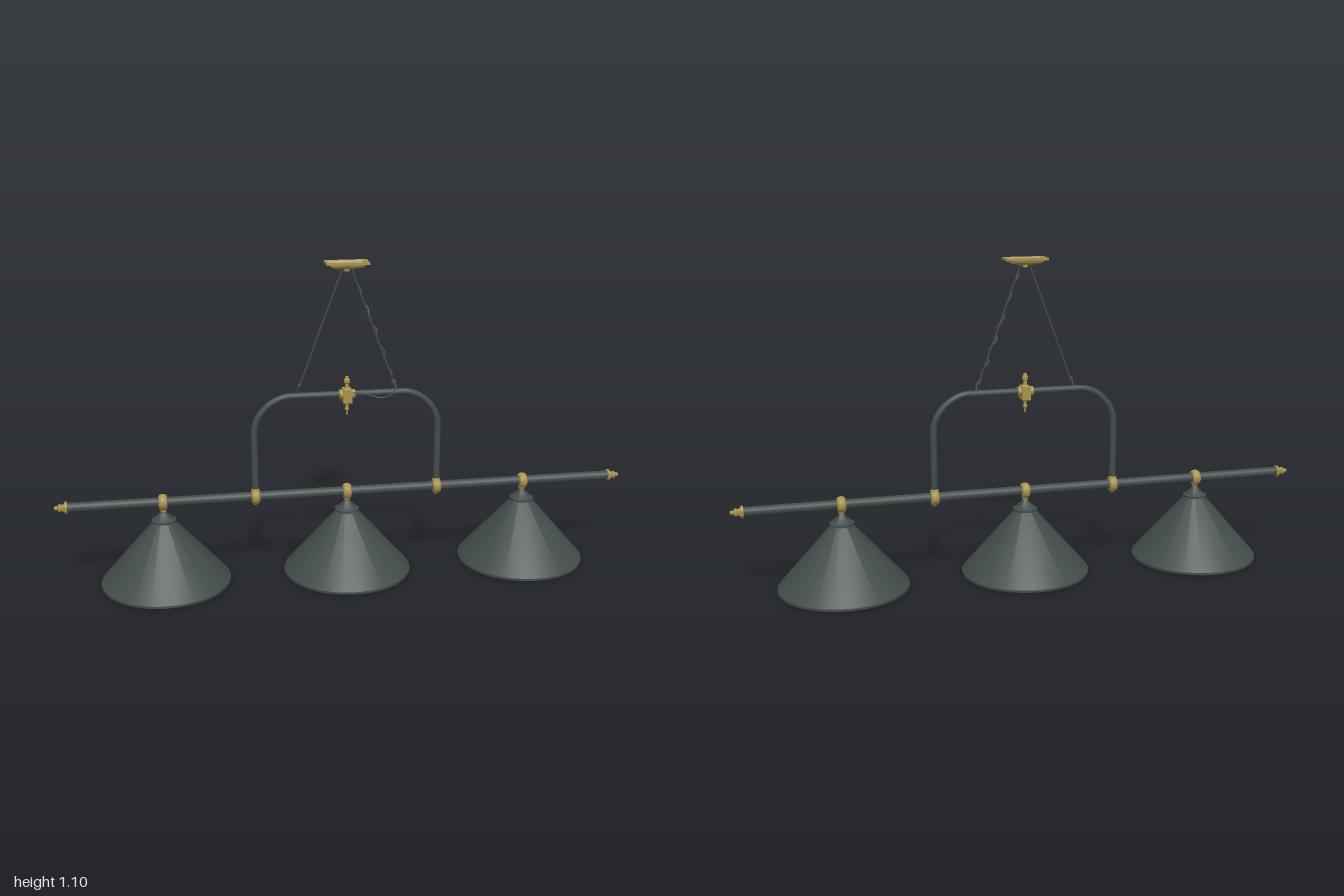
import * as THREE from 'three';
import { toCreasedNormals } from 'three/addons/utils/BufferGeometryUtils.js';

const dark = new THREE.MeshStandardMaterial({ color: 0x434b4b });
dark.name = 'dark metal';
const brass = new THREE.MeshStandardMaterial({ color: 0xa8934f });
brass.name = 'brass';
const glass = new THREE.MeshStandardMaterial({ color: 0xd2d2cc });
glass.name = 'bulb glass';

const BAR_Y = 0.292, ARCH_X = 0.32, ARCH_Y = 0.645, SHADE_X = 0.637;
const V = (x, y, z = 0) => new THREE.Vector3(x, y, z);

function add(parent, name, geometry, material, x = 0, y = 0, z = 0) {
  const mesh = new THREE.Mesh(geometry, material);
  mesh.name = name;
  mesh.position.set(x, y, z);
  parent.add(mesh);
  return mesh;
}

// Turned part from [radius, height] pairs, running upwards on the outside
function turned(profile, sides = 24) {
  const points = profile.map(([r, y]) => new THREE.Vector2(r, y));
  return toCreasedNormals(new THREE.LatheGeometry(points, sides), 0.6);
}

function tube(points, radius, segments, sides = 8) {
  return new THREE.TubeGeometry(new THREE.CatmullRomCurve3(points), segments, radius, sides);
}

// Rectangular stepped form from [halfX, halfZ, y] sections
function rectLoft(sections) {
  const pos = [];
  const corner = ([x, z, y], i) => [[x, y, z], [-x, y, z], [-x, y, -z], [x, y, -z]][i % 4];
  for (let s = 0; s < sections.length - 1; s++) {
    const lo = sections[s], hi = sections[s + 1];
    for (let i = 0; i < 4; i++) {
      const a = corner(lo, i + 1), b = corner(lo, i), c = corner(hi, i), d = corner(hi, i + 1);
      pos.push(...a, ...b, ...c, ...a, ...c, ...d);
    }
  }
  const g = new THREE.BufferGeometry();
  g.setAttribute('position', new THREE.Float32BufferAttribute(pos, 3));
  g.computeVertexNormals();
  return g;
}

// Rounded brass ring around the long bar
function clamp(parent, x) {
  const ring = add(parent, 'barClamp', new THREE.TorusGeometry(0.018, 0.01, 12, 28), brass, x, BAR_Y);
  ring.rotation.y = Math.PI / 2;
  ring.scale.z = 1.5;
}

function buildShade(x) {
  const g = new THREE.Group();
  g.name = 'lampShade';
  add(g, 'shade', turned([[0, 0.22], [0.035, 0.219], [0.218, 0.008], [0.219, 0], [0.223, 0],
    [0.223, 0.008], [0.036, 0.223]], 48), dark, x);
  add(g, 'shadeCollar', turned([[0.034, 0.221], [0.042, 0.222], [0.042, 0.229], [0.036, 0.231],
    [0.013, 0.253], [0.011, 0.258], [0, 0.258]], 32), dark, x);
  add(g, 'shadeNeck', turned([[0.009, 0.254], [0.009, 0.262], [0.012, 0.266], [0.009, 0.272]]), brass, x);
  add(g, 'socket', turned([[0, 0.15], [0.019, 0.15], [0.019, 0.225]]), dark, x);
  add(g, 'bulb', turned([[0, 0.09], [0.013, 0.093], [0.024, 0.102], [0.029, 0.116], [0.026, 0.131],
    [0.018, 0.148], [0.015, 0.16]]), glass, x);
  clamp(g, x);
  return g;
}

export function createModel() {
  const model = new THREE.Group();
  model.name = 'billiardLamp';

  // Long bar with brass end finials
  const bar = add(model, 'longBar', new THREE.CylinderGeometry(0.0165, 0.0165, 1.92, 24), dark, 0, BAR_Y);
  bar.rotation.z = Math.PI / 2;
  const finial = turned([[0.0165, 0], [0.021, 0.002], [0.021, 0.008], [0.014, 0.013], [0.011, 0.02],
    [0.014, 0.024], [0.013, 0.029], [0.007, 0.033], [0.008, 0.038], [0.005, 0.044], [0, 0.045]]);
  for (const s of [-1, 1]) {
    add(model, 'endFinial', finial, brass, s * 0.955, BAR_Y).rotation.z = -s * Math.PI / 2;
  }

  // Three cone shades
  for (const x of [-SHADE_X, 0, SHADE_X]) model.add(buildShade(x));

  // Arch: two legs, two rounded corners and a flat top
  const r = 0.125, path = new THREE.CurvePath();
  const quarter = (s) => [V(s * ARCH_X, ARCH_Y - r), V(s * ARCH_X, ARCH_Y - r * 0.45),
    V(s * (ARCH_X - r * 0.55), ARCH_Y), V(s * (ARCH_X - r), ARCH_Y)];
  path.add(new THREE.LineCurve3(V(-ARCH_X, BAR_Y), V(-ARCH_X, ARCH_Y - r)));
  path.add(new THREE.CubicBezierCurve3(...quarter(-1)));
  path.add(new THREE.LineCurve3(V(r - ARCH_X, ARCH_Y), V(ARCH_X - r, ARCH_Y)));
  path.add(new THREE.CubicBezierCurve3(...quarter(1).reverse()));
  path.add(new THREE.LineCurve3(V(ARCH_X, ARCH_Y - r), V(ARCH_X, BAR_Y)));
  add(model, 'arch', new THREE.TubeGeometry(path, 120, 0.0115, 16), dark);
  for (const s of [-1, 1]) {
    clamp(model, s * ARCH_X);
    add(model, 'archSocket', turned([[0.014, 0.305], [0.0145, 0.318], [0.0115, 0.321]]), brass, s * ARCH_X);
    add(model, 'clampButton', turned([[0, 0.262], [0.007, 0.263], [0.008, 0.27]]), brass, s * ARCH_X);
  }

  // Brass centre block with collars and upright spindle
  add(model, 'centreBlock', new THREE.BoxGeometry(0.03, 0.046, 0.046), brass, 0, 0.64);
  for (const s of [-1, 1]) {
    const collar = add(model, 'blockCollar', new THREE.CylinderGeometry(0.016, 0.016, 0.012, 20), brass, s * 0.021, ARCH_Y);
    collar.rotation.z = Math.PI / 2;
  }
  add(model, 'spindle', turned([[0, 0.568], [0.003, 0.572], [0.004, 0.585], [0.008, 0.592], [0.005, 0.6],
    [0.006, 0.61], [0.013, 0.617], [0.013, 0.663], [0.007, 0.668], [0.006, 0.682], [0.01, 0.686],
    [0.01, 0.697], [0.006, 0.701], [0.006, 0.706], [0, 0.709]]), brass);

  // Ceiling canopy, hollow on top
  add(model, 'canopy', rectLoft([[0, 0, 1.076], [0.034, 0.014, 1.076], [0.054, 0.025, 1.083],
    [0.06, 0.028, 1.09], [0.072, 0.035, 1.091], [0.072, 0.035, 1.099], [0.061, 0.026, 1.099],
    [0.054, 0.021, 1.09], [0, 0, 1.087]]), brass);
  add(model, 'canopyKnob', turned([[0, 1.066], [0.009, 1.067], [0.01, 1.077]]), brass);

  // Suspension wires ending in hooks on the arch
  const top = V(0.014, 1.078), end = V(0.16, 0.685);
  for (const s of [-1, 1]) {
    add(model, 'wire', new THREE.TubeGeometry(
      new THREE.LineCurve3(V(s * top.x, top.y), V(s * end.x, end.y)), 1, 0.0032, 8), dark);
    add(model, 'hookEye', new THREE.TorusGeometry(0.008, 0.0025, 8, 16), dark, s * 0.162, 0.68).rotation.y = Math.PI / 2;
    add(model, 'hook', tube([V(s * 0.162, 0.688, 0.002), V(s * 0.168, 0.682, 0.007),
      V(s * 0.17, 0.668, 0.004), V(s * 0.17, 0.65)], 0.003, 16), dark);
  }

  // Power cable wound loosely round one wire, then along the arch to the block
  const cable = [];
  for (let i = 0; i <= 36; i++) {
    const t = i / 36, a = t * Math.PI * 11;
    const p = top.clone().lerp(end, t);
    const w = 0.009 * Math.min(1, t * 6) * (0.75 + 0.25 * Math.sin(i * 1.7));
    cable.push(V(p.x + Math.cos(a) * w, p.y, Math.sin(a) * w));
  }
  cable.push(V(0.165, 0.668, 0.022), V(0.15, 0.645, 0.03), V(0.115, 0.632, 0.022),
    V(0.08, 0.64, 0.016), V(0.045, 0.65, 0.016), V(0.01, 0.652, 0.016));
  add(model, 'powerCable', tube(cable, 0.0025, 260, 6), dark);

  return model;
}
